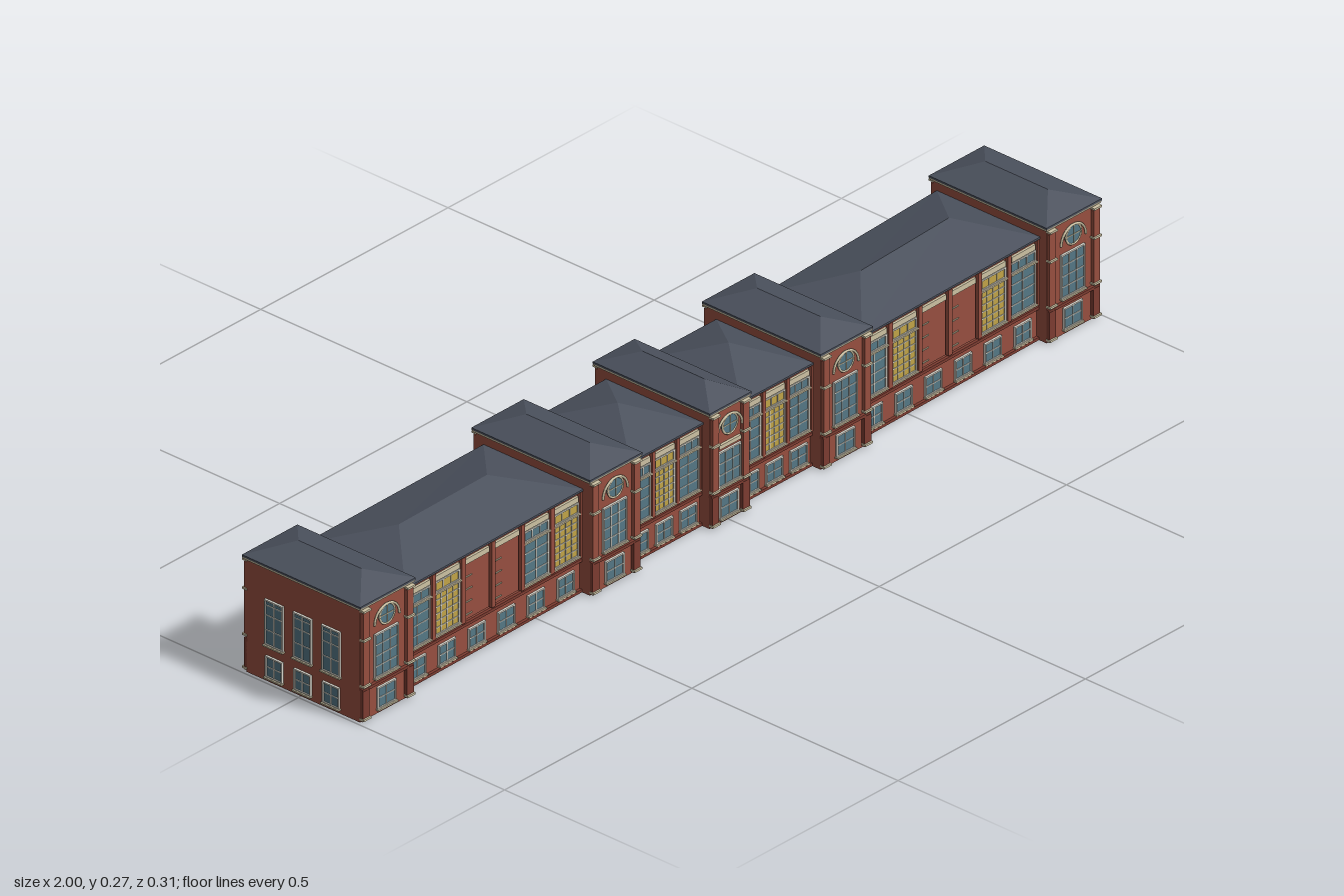
import * as THREE from 'three';

const mat = (color, extra = {}) => new THREE.MeshStandardMaterial({ color, ...extra });
const M = {
  brick: mat(0x984f40, { flatShading: true }),
  darkBrick: mat(0x7c3c31),
  roof: mat(0x4b515d, { flatShading: true }),
  trim: mat(0xcdc2a4),
  white: mat(0xd8d6cc),
  glass: mat(0x557886),
  amber: mat(0xc2a548),
};

function box(parent, name, m, x, y, z, w, h, d) {
  const mesh = new THREE.Mesh(new THREE.BoxGeometry(w, h, d), m);
  mesh.position.set(x, y, z);
  mesh.name = name;
  parent.add(mesh);
  return mesh;
}

// Solid between two four-cornered outlines, corners FL, FR, BR, BL as [x, z]
function loft(parent, name, m, low, y0, high, y1) {
  const lo = low.map(([x, z]) => [x, y0, z]), hi = high.map(([x, z]) => [x, y1, z]);
  const pos = [];
  const quad = (a, b, c, d) => pos.push(...a, ...b, ...c, ...a, ...c, ...d);
  for (let i = 0; i < 4; i++) {
    const j = (i + 1) % 4;
    quad(lo[i], lo[j], hi[j], hi[i]);
  }
  quad(...hi);
  quad(lo[3], lo[2], lo[1], lo[0]);
  const geo = new THREE.BufferGeometry();
  geo.setAttribute('position', new THREE.Float32BufferAttribute(pos, 3));
  geo.computeVertexNormals();
  const mesh = new THREE.Mesh(geo, m);
  mesh.name = name;
  parent.add(mesh);
}

// Outline pushed outwards by e in z and ex in x
const grow = (q, e, ex = e) => q.map(([x, z], i) => [x + (i === 0 || i === 3 ? -ex : ex), z + (i < 2 ? e : -e)]);

// Framed pane with glazing bars, in facade coordinates
function pane(parent, name, m, x, y0, y1, w, cols, rows) {
  const g = new THREE.Group();
  g.name = name;
  parent.add(g);
  const h = y1 - y0, y = (y0 + y1) / 2;
  box(g, 'pane', m, x, y, 0, w, h, 0.004);
  for (const s of [-1, 1]) {
    box(g, 'frameSide', M.white, x + s * w / 2, y, 0.001, 0.003, h, 0.007);
    box(g, 'frameEnd', M.white, x, y + s * h / 2, 0.001, w + 0.003, 0.003, 0.007);
  }
  for (let i = 1; i < cols; i++) box(g, 'bar', M.white, x - w / 2 + w * i / cols, y, 0.001, 0.0016, h, 0.005);
  for (let i = 1; i < rows; i++) box(g, 'bar', M.white, x, y0 + h * i / rows, 0.001, w, 0.0016, 0.005);
  box(g, 'sill', M.trim, x, y0 - 0.002, 0.003, w + 0.006, 0.003, 0.009);
}

// Local frame along a wall from a to b, with +z pointing out of the wall
function facade(parent, name, a, b) {
  const g = new THREE.Group();
  g.name = name;
  g.position.set(a[0], 0, a[1]);
  g.rotation.y = Math.atan2(a[1] - b[1], b[0] - a[0]);
  parent.add(g);
  return { g, len: Math.hypot(b[0] - a[0], b[1] - a[1]) };
}

// Wing wall: G glazed bay, A amber bay, N bricked bay
function wingFacade(parent, a, b, bays) {
  const { g, len } = facade(parent, 'wingFacade', a, b);
  const step = len / bays.length, w = step * 0.8;
  [...bays].forEach((kind, i) => {
    const x = (i + 0.5) * step;
    pane(g, 'basementWindow', M.glass, x, 0.011, 0.05, Math.min(w, 0.042), 2, 2);
    if (kind === 'N') {
      box(g, 'brickPanel', M.brick, x, 0.135, 0, w, 0.12, 0.006);
      for (let k = 0; k < 4; k++) box(g, 'stoneTick', M.trim, x - w * 0.36, 0.085 + k * 0.026, 0.003, w * 0.26, 0.002, 0.004);
    } else {
      pane(g, 'tallWindow', kind === 'A' ? M.amber : M.glass, x, 0.077, 0.162, w, kind === 'A' ? 4 : 2, kind === 'A' ? 6 : 4);
      pane(g, 'transom', kind === 'A' ? M.amber : M.glass, x, 0.166, 0.186, w, 3, 1);
    }
    box(g, 'lintel', M.trim, x, 0.195, 0.002, w, 0.011, 0.006);
  });
  for (let i = 0; i <= bays.length; i++) box(g, 'pilaster', M.brick, i * step, 0.14, 0.003, step * 0.12, 0.135, 0.009);
  box(g, 'stringCourse', M.darkBrick, len / 2, 0.066, 0.002, len, 0.006, 0.008);
  box(g, 'plinth', M.darkBrick, len / 2, 0.003, 0.002, len, 0.006, 0.008);
}

// Pavilion wall with a tall window, a round ornament and corner piers
function pavilionFacade(parent, a, b, centre) {
  const { g, len } = facade(parent, 'pavilionFacade', a, b);
  const x = len / 2, w = centre ? 0.058 : 0.06;
  pane(g, 'basementWindow', M.glass, x, 0.011, 0.053, 0.046, 2, 2);
  if (centre) {
    pane(g, 'lowerWindow', M.glass, x, 0.077, 0.147, w, 3, 3);
    box(g, 'panel', M.trim, x, 0.16, 0.002, w, 0.008, 0.007);
  } else pane(g, 'tallWindow', M.glass, x, 0.077, 0.165, w, 3, 4);
  // Arched head with an oculus
  const arch = new THREE.Mesh(new THREE.TorusGeometry(0.033, 0.0025, 6, 20, Math.PI), M.trim);
  arch.position.set(x, 0.186, 0.004);
  arch.name = 'archMoulding';
  const disc = new THREE.Mesh(new THREE.CylinderGeometry(0.02, 0.02, 0.005, 20), M.glass);
  disc.rotation.x = Math.PI / 2;
  disc.position.set(x, 0.199, 0.002);
  disc.name = 'oculus';
  const ring = new THREE.Mesh(new THREE.TorusGeometry(0.02, 0.0022, 6, 20), M.trim);
  ring.position.set(x, 0.199, 0.004);
  ring.name = 'oculusRing';
  g.add(arch, disc, ring);
  for (let k = 0; k < 2; k++) box(g, 'oculusBar', M.trim, x, 0.199, 0.004, k ? 0.04 : 0.0016, k ? 0.0016 : 0.04, 0.003);
  // Corner piers with stone caps
  for (const px of [0.009, len - 0.009]) {
    box(g, 'basementPier', M.darkBrick, px, 0.034, 0.003, 0.018, 0.062, 0.008);
    box(g, 'pier', M.brick, px, 0.15, 0.003, 0.016, 0.15, 0.008);
    for (const y of [0.007, 0.075, 0.17, 0.23]) box(g, 'pierCap', M.trim, px, y, 0.005, 0.02, 0.004, 0.011);
  }
  box(g, 'stringCourse', M.darkBrick, x, 0.066, 0.002, len, 0.006, 0.009);
}

function pavilion(root, { x, hw, zf, zb }) {
  const g = new THREE.Group();
  g.name = 'pavilion';
  root.add(g);
  const q = [[x - hw, zf], [x + hw, zf], [x + hw, zb], [x - hw, zb]];
  loft(g, 'walls', M.brick, q, 0, q, 0.236);
  const e = grow(q, 0.006);
  loft(g, 'cornice', M.trim, grow(q, 0.004), 0.233, e, 0.238);
  loft(g, 'eaves', M.roof, e, 0.238, e, 0.242);
  const rf = [x, zf - 0.058], rb = [x, zb + 0.064];
  loft(g, 'hippedRoof', M.roof, grow(q, 0.005), 0.242, [rf, rf, rb, rb], 0.267);
  pavilionFacade(g, q[0], q[1], x === 0);
  pavilionFacade(g, q[2], q[3], x === 0);
  return q;
}

function wing(root, q, ridge, front, back) {
  const g = new THREE.Group();
  g.name = 'wing';
  root.add(g);
  loft(g, 'walls', M.brick, q, 0, q, 0.21);
  const e = grow(q, 0.009, 0);
  loft(g, 'cornice', M.trim, grow(q, 0.003, 0), 0.205, e, 0.21);
  loft(g, 'eaves', M.roof, e, 0.21, e, 0.214);
  const [l, r] = ridge;
  loft(g, 'hippedRoof', M.roof, e, 0.214, [l, r, r, l], 0.251);
  wingFacade(g, q[0], q[1], front);
  wingFacade(g, q[2], q[3], back);
}

// End wall with three windows on each floor
function endFacade(root, a, b) {
  const { g, len } = facade(root, 'endFacade', a, b);
  for (const k of [-1, 0, 1]) {
    const x = len / 2 + k * 0.069;
    pane(g, 'tallWindow', M.glass, x, 0.077, 0.168, 0.042, 2, 3);
    box(g, 'upperBar', M.white, x, 0.158, 0.001, 0.042, 0.0016, 0.005);
    pane(g, 'basementWindow', M.glass, x, 0.011, 0.052, 0.038, 2, 2);
  }
}

export function createModel() {
  const root = new THREE.Group();
  root.name = 'longBrickBuilding';

  const blocks = [
    { x: -0.925, hw: 0.068, zf: 0.143, zb: -0.132 },
    { x: -0.31, hw: 0.064, zf: 0.138, zb: -0.138 },
    { x: 0, hw: 0.05, zf: 0.134, zb: -0.138 },
    { x: 0.308, hw: 0.064, zf: 0.136, zb: -0.14 },
    { x: 0.925, hw: 0.068, zf: 0.127, zb: -0.147 },
  ].map((p) => pavilion(root, p));
  endFacade(root, blocks[4][1], blocks[4][2]);
  endFacade(root, blocks[0][3], blocks[0][0]);

  // Wings between the pavilions; the outer ones bend slightly
  const span = (i, fl, fr, br, bl) => {
    const x0 = blocks[i][1][0], x1 = blocks[i + 1][0][0];
    return [[x0, fl], [x1, fr], [x1, br], [x0, bl]];
  };
  wing(root, span(0, 0.12, 0.113, -0.111, -0.107), [[-0.74, 0.007], [-0.5, 0.003]], 'GANNGA', 'GANNAG');
  wing(root, span(1, 0.111, 0.11, -0.108, -0.108), [[-0.148, 0], [-0.148, 0]], 'GAG', 'GAG');
  wing(root, span(2, 0.11, 0.11, -0.108, -0.108), [[0.148, 0], [0.148, 0]], 'GAG', 'GAG');
  wing(root, span(3, 0.111, 0.103, -0.13, -0.108), [[0.5, 0], [0.75, -0.012]], 'GANNAG', 'GANNGA');
  return root;
}
